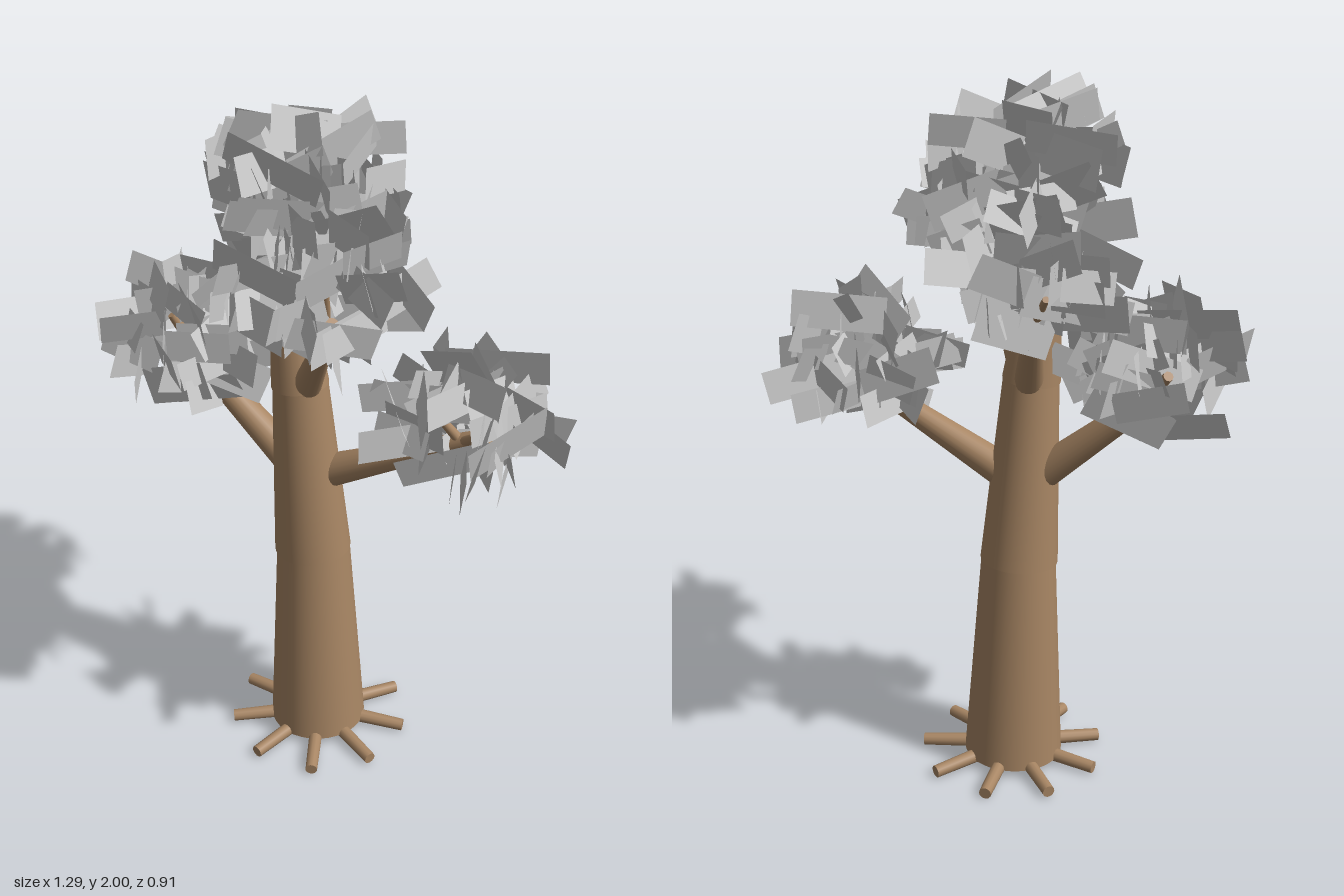
import * as THREE from 'three';
import { mergeGeometries } from 'three/addons/utils/BufferGeometryUtils.js';

const bark = new THREE.MeshStandardMaterial({ color: 0xa88664 });
const leafMat = new THREE.MeshStandardMaterial({ color: 0xcccccc, side: THREE.DoubleSide });

// Small seeded random generator
function seeded(seed) {
  let s = seed;
  return () => {
    s = (s * 16807) % 2147483647;
    return s / 2147483647;
  };
}

// Tapered round limb between two points
function limb(name, from, to, r0, r1, sides = 20) {
  const a = new THREE.Vector3(...from), b = new THREE.Vector3(...to);
  const dir = b.clone().sub(a);
  const mesh = new THREE.Mesh(new THREE.CylinderGeometry(r1, r0, dir.length(), sides), bark);
  mesh.position.copy(a).add(b).multiplyScalar(0.5);
  mesh.quaternion.setFromUnitVectors(new THREE.Vector3(0, 1, 0), dir.normalize());
  mesh.name = name;
  return mesh;
}

// Cloud of long, mostly upright rectangular leaf cards inside an ellipsoid
function leafCluster(name, centre, radii, count, seed) {
  const rnd = seeded(seed);
  for (let i = 0; i < 5; i++) rnd();
  const range = (a, b) => a + (b - a) * rnd();
  const cards = [];
  for (let i = 0; i < count; i++) {
    const yaw = range(0, Math.PI * 2);
    const h = range(-1, 1);
    const ring = Math.sqrt(1 - h * h);
    const r = Math.cbrt(range(0.01, 1));
    const card = new THREE.PlaneGeometry(range(0.14, 0.27), range(0.075, 0.11));
    card.rotateZ(range(-0.45, 0.45));
    card.rotateX(range(-0.38, 0.38));
    card.rotateY(range(0, Math.PI * 2));
    card.translate(
      centre[0] + radii[0] * r * ring * Math.cos(yaw),
      centre[1] + radii[1] * r * h,
      centre[2] + radii[2] * r * ring * Math.sin(yaw));
    cards.push(card);
  }
  const mesh = new THREE.Mesh(mergeGeometries(cards), leafMat);
  mesh.name = name;
  return mesh;
}

export function createModel() {
  const tree = new THREE.Group();
  tree.name = 'tree';

  // Trunk in three leaning, tapering sections, each slightly overhanging the one below
  const trunk = new THREE.Group();
  trunk.name = 'trunk';
  trunk.add(
    limb('lowerTrunk', [-0.035, 0.03, 0], [-0.05, 0.67, 0.005], 0.144, 0.106, 32),
    limb('middleTrunk', [-0.05, 0.655, 0.007], [-0.067, 1.21, 0.035], 0.111, 0.077, 32),
    limb('upperTrunk', [-0.067, 1.195, 0.035], [-0.115, 1.7, 0.06], 0.081, 0.03, 24));
  tree.add(trunk);

  // Ring of surface roots
  const roots = new THREE.Group();
  roots.name = 'roots';
  for (let i = 0; i < 9; i++) {
    const a = (i * Math.PI * 2) / 9;
    roots.add(limb('root', [-0.03, 0.042, 0],
      [-0.03 + 0.268 * Math.cos(a), 0.026, 0.268 * Math.sin(a)], 0.022, 0.018, 12));
  }
  tree.add(roots);

  // Main branches, each forking into twigs: start, end, base and tip radius, twig ends
  const branches = [
    ['lowerLeftBranch', [-0.03, 0.91, -0.01], [0.42, 1.17, -0.23], 0.05, 0.022,
      [[0.47, 1.22, -0.17], [0.3, 1.25, -0.12], [0.42, 1.12, -0.28]]],
    ['lowerRightBranch', [-0.09, 0.91, 0.03], [-0.4, 1.2, 0.18], 0.05, 0.03,
      [[-0.52, 1.3, 0.08], [-0.4, 1.33, 0.24], [-0.3, 1.3, 0.22]]],
    ['upperLeftBranch', [-0.05, 1.18, 0.03], [0.26, 1.54, 0.16], 0.042, 0.02,
      [[0.3, 1.54, 0.1], [0.14, 1.6, 0.2], [0.26, 1.64, 0.18]]],
    ['upperBackBranch', [-0.07, 1.16, 0.02], [-0.26, 1.46, -0.14], 0.045, 0.02,
      [[-0.36, 1.52, -0.2], [-0.2, 1.58, -0.2], [-0.28, 1.6, -0.06]]],
    ['crownTwig', [-0.1, 1.52, 0.05], [-0.02, 1.7, 0.08], 0.016, 0.01,
      [[0.03, 1.78, 0.04], [-0.08, 1.82, 0.1]]],
  ];
  for (const [name, from, to, r0, r1, twigs] of branches) {
    const group = new THREE.Group();
    group.name = name;
    group.add(limb('branch', from, to, r0, r1));
    for (const end of twigs) {
      const fork = from.map((v, i) => v + (to[i] - v) * 0.85);
      group.add(limb('twig', fork, end, r1 * 0.7, r1 * 0.45, 10));
    }
    tree.add(group);
  }

  // Foliage masses at the branch ends
  tree.add(
    leafCluster('lowerLeftLeaves', [0.36, 1.22, -0.2], [0.22, 0.16, 0.2], 58, 11),
    leafCluster('lowerRightLeaves', [-0.37, 1.27, 0.2], [0.23, 0.17, 0.2], 58, 23),
    leafCluster('upperLeftLeaves', [0.2, 1.63, 0.14], [0.23, 0.16, 0.22], 66, 37),
    leafCluster('upperBackLeaves', [-0.23, 1.57, -0.11], [0.22, 0.19, 0.18], 66, 41),
    leafCluster('crownLeaves', [-0.05, 1.79, 0.02], [0.23, 0.15, 0.22], 68, 59));
  return tree;
}
